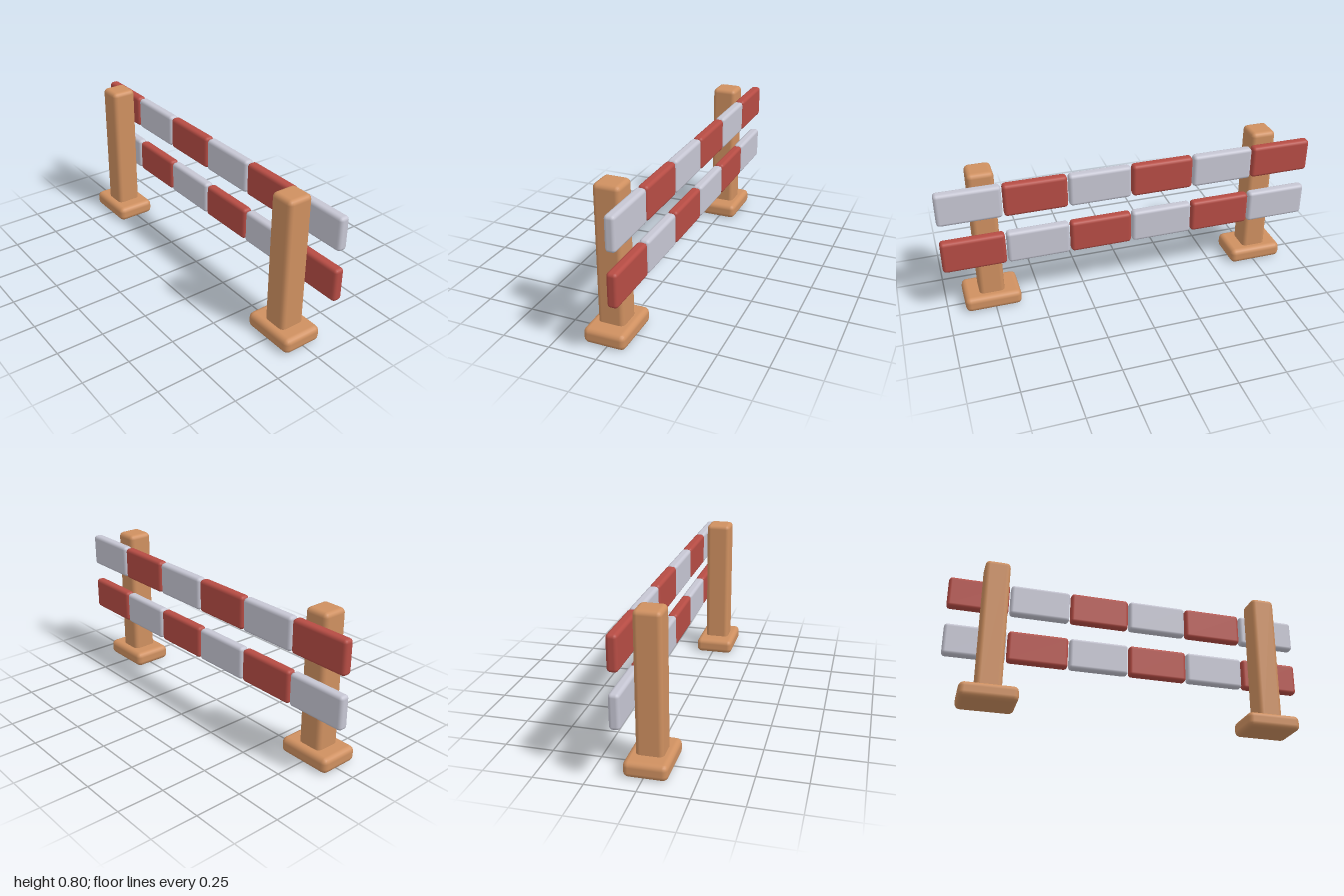
import * as THREE from 'three';
import { RoundedBoxGeometry } from 'three/addons/geometries/RoundedBoxGeometry.js';

const wood = new THREE.MeshStandardMaterial({ name: 'wood', color: 0xcf9060 });
const red = new THREE.MeshStandardMaterial({ name: 'red paint', color: 0xb64c44 });
const white = new THREE.MeshStandardMaterial({ name: 'pale grey paint', color: 0xc6c6d3 });

// Rounded block given by its minimum and maximum corners
function block(name, material, min, max, radius) {
  const size = max.map((v, i) => v - min[i]);
  const mesh = new THREE.Mesh(new RoundedBoxGeometry(...size, 2, radius), material);
  mesh.position.set(...max.map((v, i) => (v + min[i]) / 2));
  mesh.name = name;
  return mesh;
}

export function createModel() {
  const group = new THREE.Group();
  group.name = 'barrier';

  // Two posts, each standing on a wide foot
  for (const z of [-0.759, 0.759]) {
    const support = new THREE.Group();
    support.name = z > 0 ? 'frontSupport' : 'backSupport';
    support.add(
      block('foot', wood, [-0.12, 0, z - 0.149], [0.098, 0.083, z + 0.149], 0.028),
      block('post', wood, [-0.08, 0.04, z - 0.067], [0.057, 0.797, z + 0.067], 0.024)
    );
    group.add(support);
  }

  // Two rails of six boards in alternating colours
  const pitch = 0.3345, length = 0.3275;
  [[0.293, 'lowerRail'], [0.57, 'upperRail']].forEach(([y, name], row) => {
    const rail = new THREE.Group();
    rail.name = name;
    for (let i = 0; i < 6; i++) {
      const z = -1 + i * pitch;
      const paint = (i + row) % 2 ? red : white;
      rail.add(block('board', paint, [0.066, y, z], [0.12, y + 0.177, z + length], 0.018));
    }
    group.add(rail);
  });
  return group;
}
